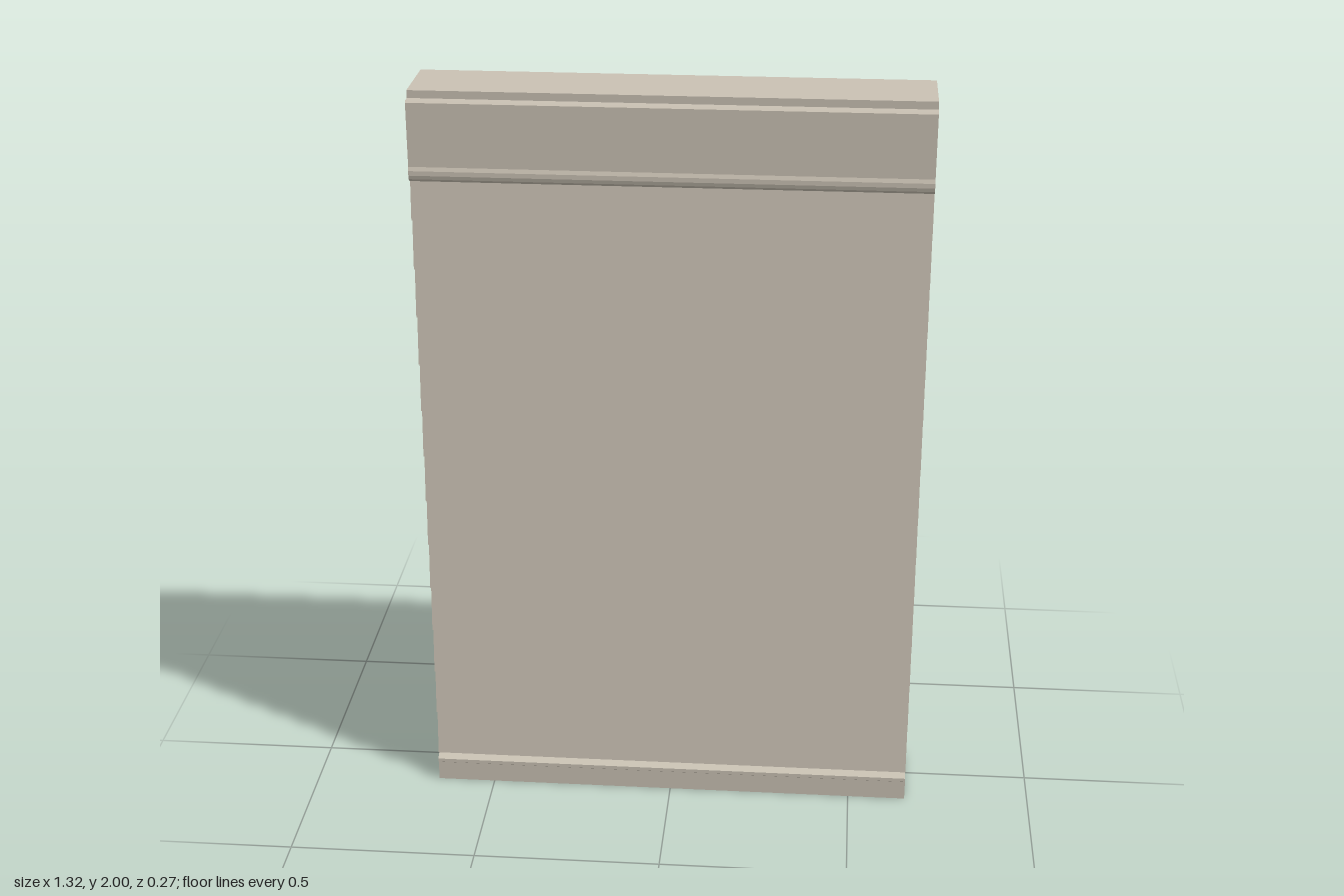
import * as THREE from 'three';

const WIDTH = 1.316;
const BACK = -0.088;

export function createModel() {
  const group = new THREE.Group();
  const paint = new THREE.MeshStandardMaterial({ color: 0xcac2b4 });
  paint.name = 'warm beige paint';

  // Extrudes a [z, y] cross-section across the full width
  function addProfile(name, points) {
    const shape = new THREE.Shape(points.map(([z, y]) => new THREE.Vector2(z, y)));
    const geometry = new THREE.ExtrudeGeometry(shape, { depth: WIDTH, bevelEnabled: false });
    geometry.translate(0, 0, -WIDTH / 2);
    geometry.rotateY(-Math.PI / 2);
    const mesh = new THREE.Mesh(geometry, paint);
    mesh.name = name;
    group.add(mesh);
  }

  // Wall panel with overlapping boards on its front face
  const bottom = 0.08, top = 1.77, pitch = 0.132, first = 0.083;
  const wall = [[BACK, top], [BACK, 0.105], [-0.096, bottom], [0.113, bottom]];
  for (let i = 0; i < 13; i++) {
    const y = first + i * pitch;
    const end = Math.min(y + pitch, top);
    wall.push([0.128, y], [0.128 - 0.013 * (end - y) / pitch, end]);
  }
  addProfile('clapboardWall', wall);

  // Base: sloped ledge at the front, flared skirting at the back
  addProfile('baseTrim', [
    [-0.106, 0], [0.133, 0], [0.133, 0.055], [0.137, 0.058], [0.137, 0.068],
    [0.113, bottom], [-0.096, bottom], [-0.098, 0.07], [-0.101, 0.012], [-0.106, 0.008],
  ]);

  // Frieze with a rounded drip edge below and a rebate along the top
  addProfile('frieze', [
    [BACK, top], [0.115, top], [0.127, 1.771], [0.134, 1.778], [0.137, 1.788],
    [0.137, 1.8], [0.133, 1.81], [0.133, 1.975], [0.127, 1.98], [0.107, 1.98],
    [0.107, 2], [BACK, 2],
  ]);

  // Picture rail on the back
  addProfile('pictureRail', [
    [BACK, 1.79], [BACK, 1.845], [-0.138, 1.845], [-0.138, 1.838],
    [-0.127, 1.828], [-0.118, 1.814], [-0.106, 1.806], [-0.097, 1.799],
  ]);

  return group;
}
